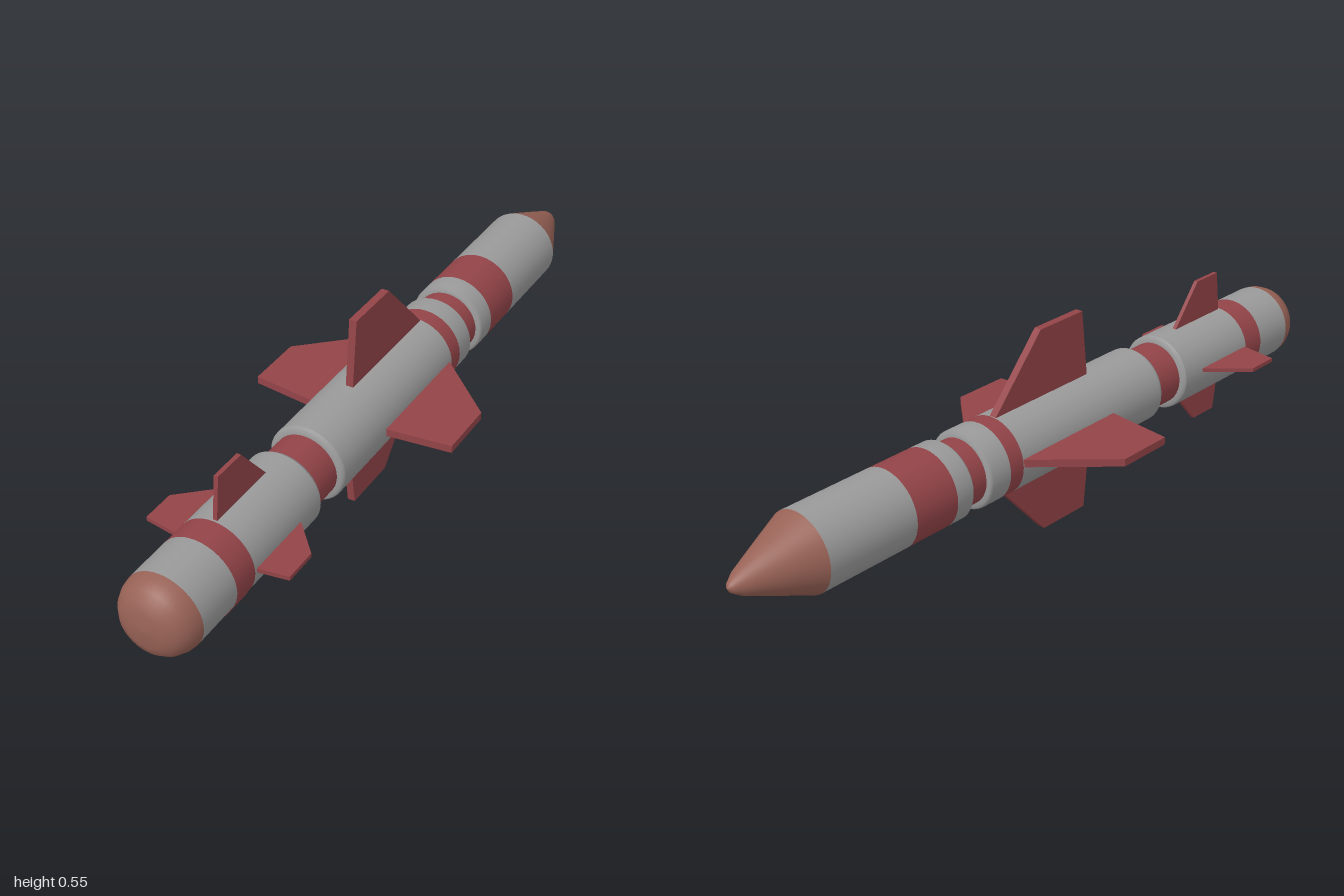
import * as THREE from 'three';

const R = 0.102, NECK = 0.085, CX = 0.005, CY = 0.27;
const grey = new THREE.MeshStandardMaterial({ color: 0x9a9a9a });
const red = new THREE.MeshStandardMaterial({ color: 0x934448 });
const salmon = new THREE.MeshStandardMaterial({ color: 0x986256 });

// Surface of revolution along z from [radius, z] pairs, listed back to front
function turned(name, material, profile) {
  const geo = new THREE.LatheGeometry(profile.map(([r, z]) => new THREE.Vector2(r, z)), 40);
  geo.rotateX(Math.PI / 2);
  const mesh = new THREE.Mesh(geo, material);
  mesh.name = name;
  return mesh;
}

// Flat fin: outline in [radius, z], turned about the body axis, shifted slightly sideways
function fin(name, outline, thickness, angle, dx, dy) {
  const shape = new THREE.Shape(outline.map(([r, z]) => new THREE.Vector2(r, z)));
  const geo = new THREE.ExtrudeGeometry(shape, { depth: thickness, bevelEnabled: false });
  geo.translate(0, 0, -thickness / 2);
  geo.rotateX(Math.PI / 2);
  const mesh = new THREE.Mesh(geo, red);
  mesh.name = name;
  mesh.rotation.z = angle;
  mesh.position.set(dx, dy, 0);
  return mesh;
}

export function createModel() {
  const model = new THREE.Group();
  model.name = 'missile';
  const body = new THREE.Group();
  body.name = 'body';
  body.position.set(CX, CY, 0);
  model.add(body);

  // Pointed and rounded end caps
  body.add(turned('pointedCap', salmon, [[0, -1], [0.012, -0.994], [0.03, -0.968], [0.066, -0.885], [R, -0.8]]));
  body.add(turned('roundedCap', salmon,
    [[R, 0.925], [0.099, 0.945], [0.089, 0.968], [0.072, 0.986], [0.045, 0.997], [0, 1]]));

  // Straight tube sections and painted bands
  [
    ['rearTube', grey, -0.8, -0.54],
    ['rearBand', red, -0.54, -0.41],
    ['middleBand', red, -0.23, -0.185],
    ['middleTube', grey, -0.185, 0.345],
    ['frontTube', grey, 0.46, 0.73],
    ['frontBand', red, 0.73, 0.8],
    ['headTube', grey, 0.8, 0.925],
  ].forEach(([name, mat, z0, z1]) => body.add(turned(name, mat, [[R, z0], [R, z1]])));

  // Collars closing the tubes down to the narrow necks
  const collar = (name, z0, z1, towardFront) => {
    const b = 0.008;
    body.add(turned(name, grey, towardFront
      ? [[R, z0], [R, z1 - b], [R - 0.006, z1], [NECK - 0.005, z1]]
      : [[NECK - 0.005, z0], [R - 0.006, z0], [R, z0 + b], [R, z1]]));
  };
  collar('rearCollar', -0.41, -0.352, true);
  collar('middleRearCollar', -0.297, -0.23, false);
  collar('middleFrontCollar', 0.345, 0.358, true);
  collar('frontCollar', 0.45, 0.46, false);

  body.add(turned('rearNeck', red, [[NECK, -0.355], [NECK, -0.295]]));
  body.add(turned('frontNeck', red, [[NECK, 0.355], [NECK, 0.455]]));

  // Four large wings and four small fins, counter-clockwise from the model's left
  const wing = [[0.08, 0.157], [0.08, -0.195], [0.1, -0.18], [0.275, -0.02], [0.275, 0.135]];
  const small = (tip) => [[0.08, 0.727], [0.08, 0.515], [0.1, 0.535], [tip, 0.622], [tip, 0.71]];
  const places = [
    ['left', 0, 0.27, 0.183],
    ['top', 0.005, 0.275, 0.208],
    ['right', 0, 0.28, 0.197],
    ['bottom', -0.006, 0.275, 0.2],
  ];
  places.forEach(([side, x, y, tip], i) => {
    const angle = i * Math.PI / 2;
    model.add(fin(side + 'Wing', wing, 0.02, angle, x, y));
    const sx = side === 'bottom' ? -0.002 : x;
    model.add(fin(side + 'Fin', small(tip), 0.011, angle, sx, y));
  });
  return model;
}
